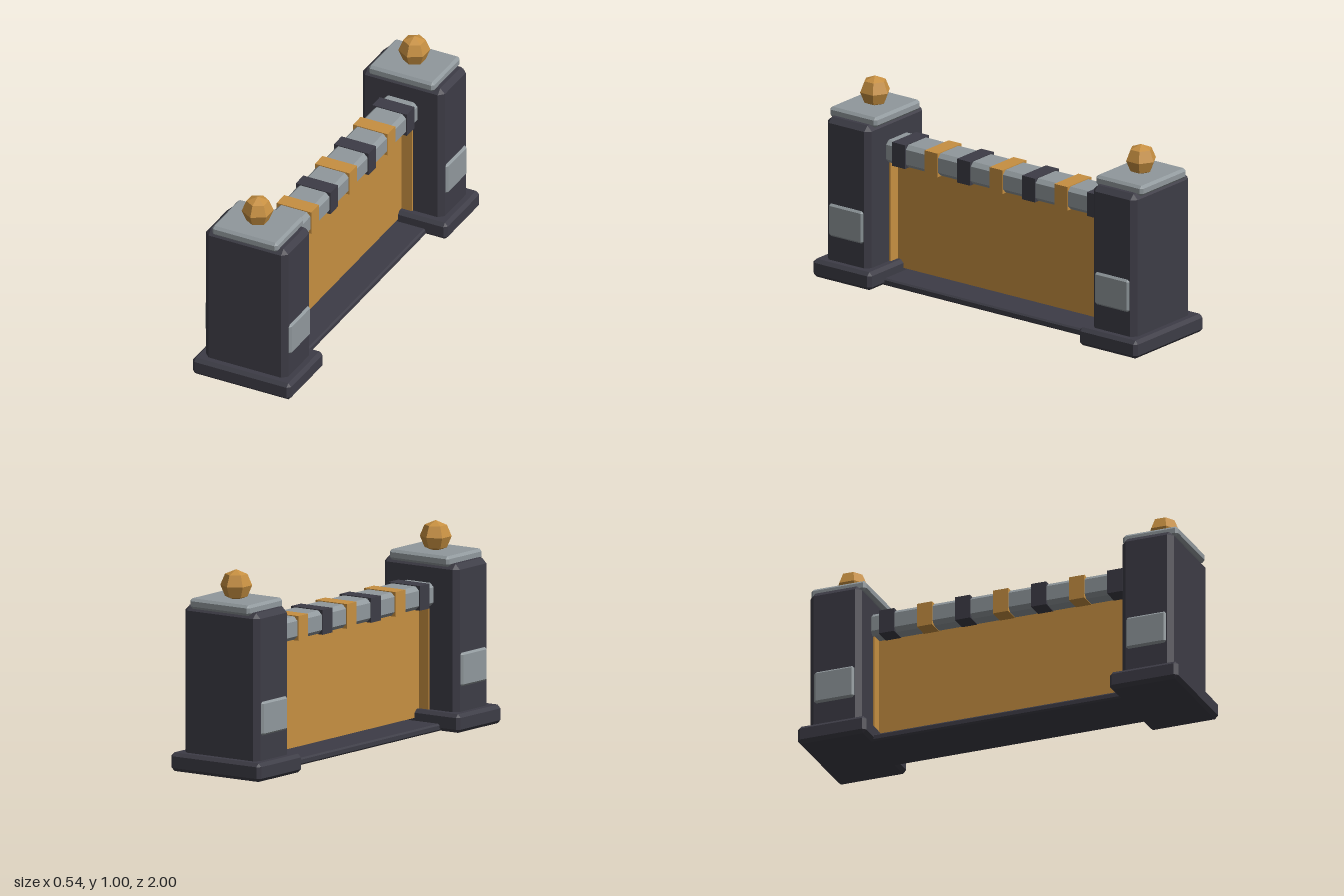
import * as THREE from 'three';
import { ConvexGeometry } from 'three/addons/geometries/ConvexGeometry.js';

const makeMaterial = (name, color) => {
  const m = new THREE.MeshStandardMaterial({ color });
  m.name = name;
  return m;
};

// Box with all twelve edges chamfered by c
function chamferBox(w, h, d, c) {
  const pts = [];
  const x = w / 2, y = h / 2, z = d / 2;
  for (const i of [-1, 1]) for (const j of [-1, 1]) for (const k of [-1, 1]) {
    pts.push(
      new THREE.Vector3(i * x, j * (y - c), k * (z - c)),
      new THREE.Vector3(i * (x - c), j * y, k * (z - c)),
      new THREE.Vector3(i * (x - c), j * (y - c), k * z));
  }
  return new ConvexGeometry(pts);
}

export function createModel() {
  const dark = makeMaterial('charcoal', 0x3d3c46);
  const grey = makeMaterial('stone grey', 0x90989c);
  const gold = makeMaterial('gold', 0xc68f41);
  const model = new THREE.Group();
  model.name = 'gateBarrier';

  const add = (parent, name, geometry, material, x, y, z) => {
    const mesh = new THREE.Mesh(geometry, material);
    mesh.name = name;
    mesh.position.set(x, y, z);
    parent.add(mesh);
    return mesh;
  };
  // Block spanning y0..y1, chamfered when c > 0
  const block = (parent, name, material, w, y0, y1, d, c, x = 0, z = 0) => add(parent, name,
    c ? chamferBox(w, y1 - y0, d, c) : new THREE.BoxGeometry(w, y1 - y0, d),
    material, x, (y0 + y1) / 2, z);

  // End pillars
  const ball = new THREE.SphereGeometry(0.078, 6, 4).rotateY(Math.PI / 2).toNonIndexed();
  ball.computeVertexNormals();
  for (const s of [1, -1]) {
    const pillar = new THREE.Group();
    pillar.name = s > 0 ? 'frontPillar' : 'backPillar';
    pillar.position.z = s * 0.82;
    model.add(pillar);
    block(pillar, 'pillarBase', dark, 0.54, 0, 0.092, 0.36, 0.017);
    block(pillar, 'pillarShaft', dark, 0.45, 0.03, 0.82, 0.27, 0.026);
    block(pillar, 'pillarCap', grey, 0.36, 0.806, 0.858, 0.29, 0.013);
    add(pillar, 'finial', ball, gold, 0, 0.922, 0);
    for (const side of [1, -1]) {
      block(pillar, 'sidePlate', grey, 0.04, 0.217, 0.383, 0.21, 0.01, side * 0.217);
    }
    // Narrow post where the panel meets the pillar
    block(model, 'panelPost', gold, 0.125, 0.05, 0.61, 0.02, 0, 0, s * 0.685);
  }

  // Floor strip and thin panel
  block(model, 'floorStrip', dark, 0.31, 0, 0.036, 1.4, 0.008);
  block(model, 'panel', gold, 0.01, 0.05, 0.61, 1.36, 0);

  // Top rail with alternating bands
  block(model, 'topRail', grey, 0.18, 0.603, 0.718, 1.4, 0.02);
  for (let i = -3; i <= 3; i++) {
    block(model, 'railBand', i % 2 ? dark : gold, 0.19, 0.6, 0.722, 0.08, 0, 0, i * 0.2);
  }
  return model;
}
